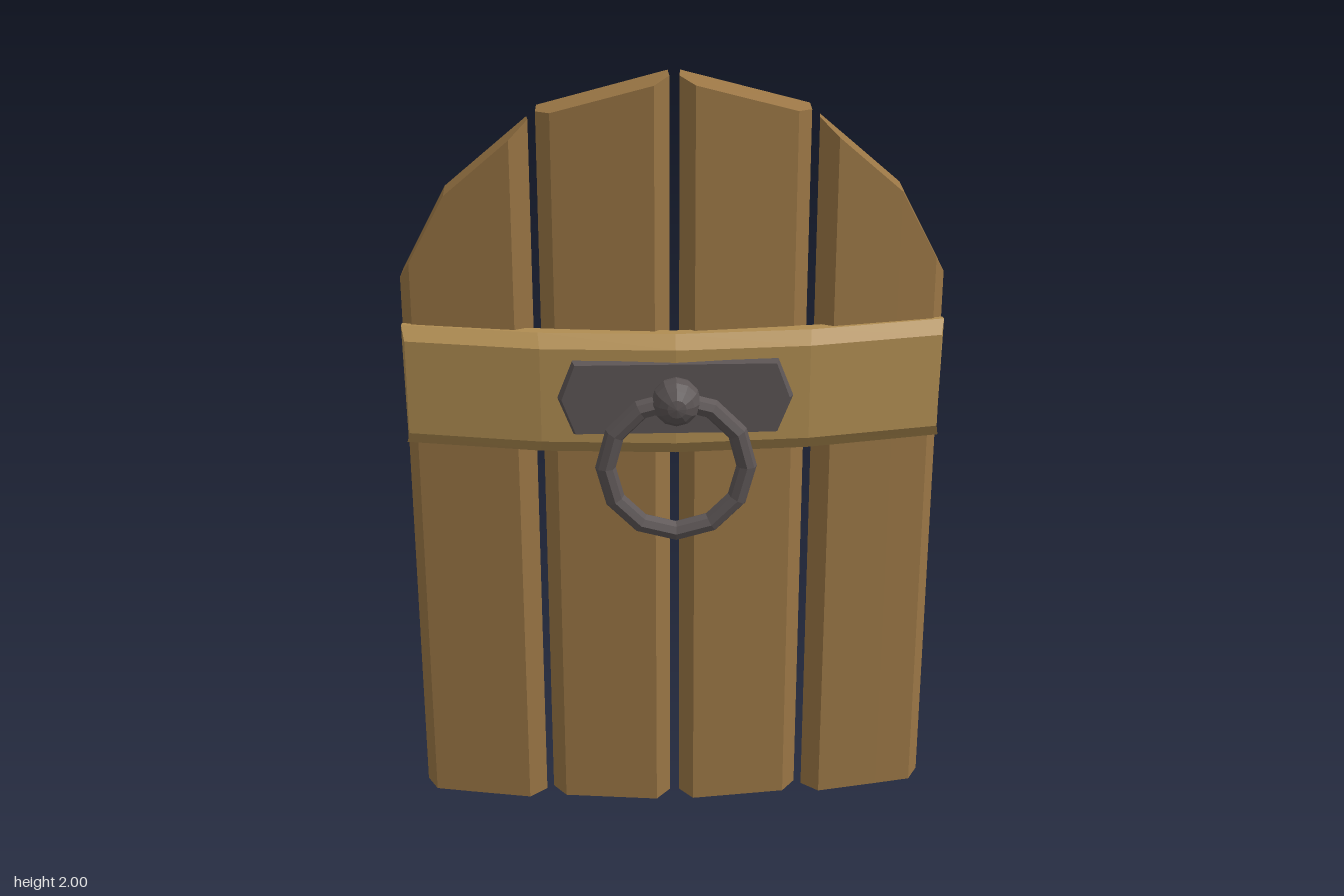
import * as THREE from 'three';
import { ConvexGeometry } from 'three/addons/geometries/ConvexGeometry.js';

const mat = (color) => new THREE.MeshStandardMaterial({ color, flatShading: true });
const wood = mat(0x9a7645), lightWood = mat(0xb08d52), iron = mat(0x5c5555);

function add(group, name, geometry, material) {
  const mesh = new THREE.Mesh(geometry, material);
  mesh.name = name;
  group.add(mesh);
  return mesh;
}

// Height of a polyline [[x, y], ...] at x
function heightAt(line, x) {
  let i = 0;
  while (i < line.length - 2 && x > line[i + 1][0]) i++;
  const [a, b] = [line[i], line[i + 1]];
  return a[1] + ((b[1] - a[1]) * (x - a[0])) / (b[0] - a[0]);
}

// Upright board: footprint points [x, z, floor, topDrop] raised to a top outline
function plank(section, outline, side) {
  const points = [];
  for (const [x, z, floor, drop] of section) {
    points.push(new THREE.Vector3(side * x, floor, z));
    points.push(new THREE.Vector3(side * x, heightAt(outline, x) - drop, z));
  }
  return new ConvexGeometry(points);
}

// Sweep through equal closed rings of [x, y, z], capped at both ends
function loft(rings) {
  const n = rings[0].length, index = [];
  for (let r = 0; r < rings.length - 1; r++) {
    for (let i = 0; i < n; i++) {
      const a = r * n + i, b = r * n + ((i + 1) % n);
      index.push(a, a + n, b, b, a + n, b + n);
    }
  }
  const last = (rings.length - 1) * n;
  for (let i = 1; i < n - 1; i++) {
    index.push(0, i, i + 1, last, last + i + 1, last + i);
  }
  const g = new THREE.BufferGeometry();
  g.setAttribute('position', new THREE.Float32BufferAttribute(rings.flat(2), 3));
  g.setIndex(index);
  const flat = g.toNonIndexed();
  flat.computeVertexNormals();
  return flat;
}

export function createModel() {
  const model = new THREE.Group();
  model.name = 'archedDoor';

  // Four bowed planks with bevelled front edges
  const innerTop = [[0.012, 2.0], [0.335, 1.91]];
  const innerSection = [
    [0.015, -0.065, 0.015, 0], [0.333, -0.095, 0.015, 0], [0.335, -0.06, 0.01, 0.008],
    [0.3, -0.025, 0, 0.015], [0.05, 0.004, 0, 0.015], [0.012, -0.03, 0.01, 0.008],
  ];
  const outerTop = [[0.353, 1.89], [0.565, 1.705], [0.687, 1.475]];
  const outerSection = [
    [0.357, -0.08, 0.015, 0], [0.565, -0.125, 0.015, 0], [0.68, -0.15, 0.02, 0],
    [0.687, -0.113, 0.01, 0], [0.66, -0.073, 0, 0.005], [0.565, -0.053, 0, 0.008],
    [0.4, -0.02, 0, 0.008], [0.353, -0.045, 0.01, 0.004],
  ];
  for (const [side, label] of [[1, 'left'], [-1, 'right']]) {
    add(model, label + 'InnerPlank', plank(innerSection, innerTop, side), wood);
    add(model, label + 'OuterPlank', plank(outerSection, outerTop, side), wood);
  }

  // Bent crossbar: stations of [x, z] for the back, shoulder and front edges
  const stations = [
    [[0, -0.002], [0, 0.027], [0, 0.06]],
    [[0.345, -0.032], [0.342, 0.003], [0.338, 0.036]],
    [[0.685, -0.085], [0.687, -0.07], [0.677, -0.035]],
  ];
  const ring = ([back, shoulder, front], side) => [
    [side * back[0], 1.045, back[1]], [side * shoulder[0], 1.045, shoulder[1]],
    [side * front[0], 1.083, front[1]], [side * front[0], 1.33, front[1]],
    [side * shoulder[0], 1.362, shoulder[1]], [side * back[0], 1.362, back[1]],
  ];
  const rings = [
    ring(stations[2], -1), ring(stations[1], -1), ring(stations[0], 1),
    ring(stations[1], 1), ring(stations[2], 1),
  ];
  add(model, 'crossbar', loft(rings), lightWood);

  // Hexagonal iron plate with a slight bevel
  const platePoints = [];
  for (const [z, inset] of [[0.03, 0], [0.05, 0], [0.067, 0.01]]) {
    for (const s of [1, -1]) {
      platePoints.push(new THREE.Vector3(s * (0.295 - inset), 1.205, z));
      for (const t of [1, -1]) {
        platePoints.push(new THREE.Vector3(s * (0.257 - inset * 0.6), 1.205 + t * (0.096 - inset * 0.5), z));
      }
    }
  }
  add(model, 'handlePlate', new ConvexGeometry(platePoints), iron);

  // Knob and pull ring
  const knob = add(model, 'handleKnob', new THREE.SphereGeometry(0.062, 12, 8), iron);
  knob.rotation.x = Math.PI / 2;
  knob.position.set(0, 1.205, 0.084);
  const pull = add(model, 'pullRing', new THREE.TorusGeometry(0.178, 0.026, 8, 12), iron);
  pull.position.set(0, 1.03, 0.083);

  return model;
}
